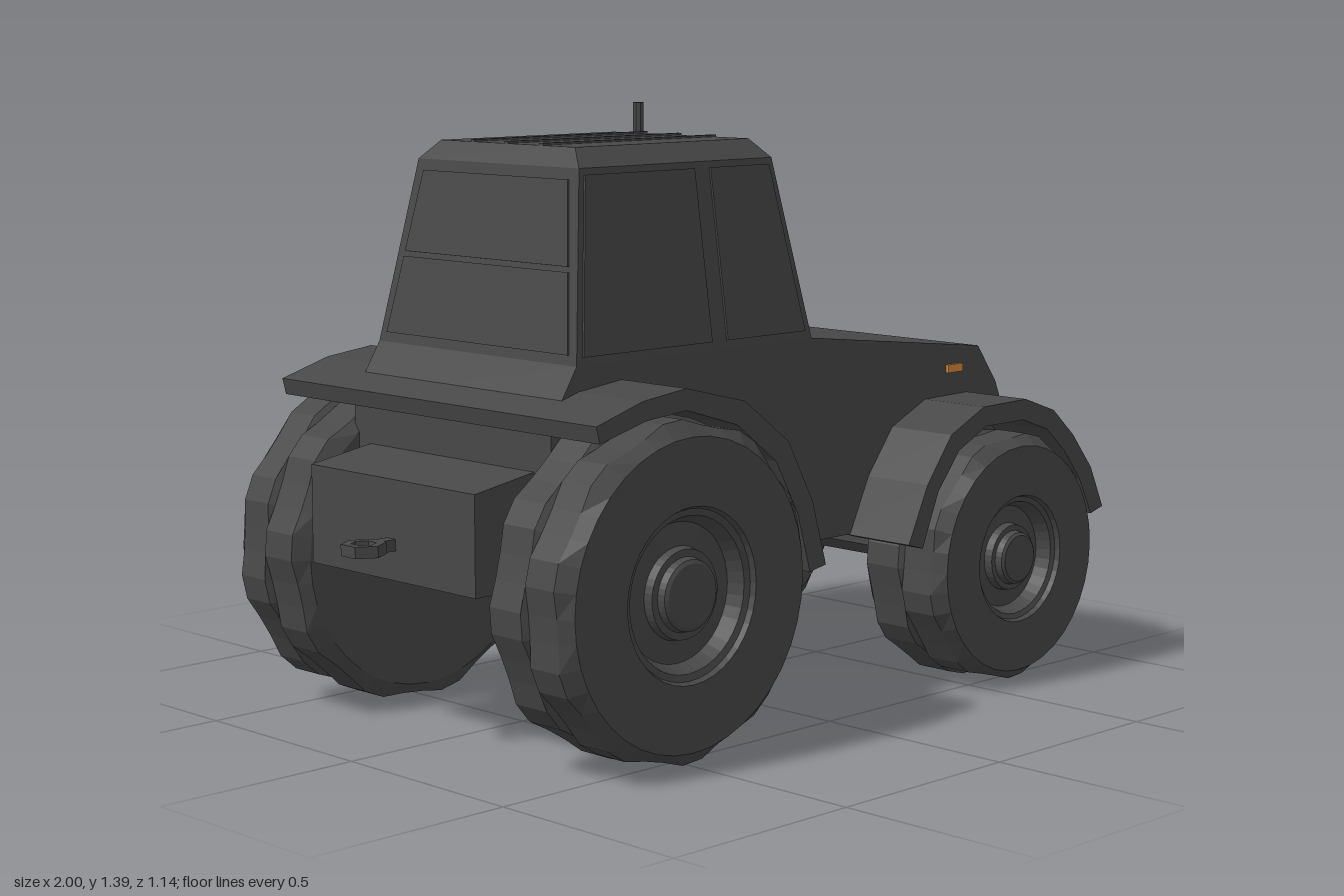
import * as THREE from 'three';

const mat = (name, color) => {
  const m = new THREE.MeshStandardMaterial({ color });
  m.name = name;
  return m;
};

export function createModel() {
  const root = new THREE.Group();
  root.name = 'tractor';
  const grey = mat('darkGrey', 0x484848);
  const white = mat('lampWhite', 0xdedede);
  const orange = mat('indicatorOrange', 0xda863e);

  const add = (name, geo, x = 0, y = 0, z = 0, m = grey) => {
    const mesh = new THREE.Mesh(geo, m);
    mesh.name = name;
    mesh.position.set(x, y, z);
    root.add(mesh);
    return mesh;
  };
  const box = (name, w, h, d, x, y, z, m) => add(name, new THREE.BoxGeometry(w, h, d), x, y, z, m);
  const rod = (name, r, len, x, y, z, axis = 'y', sides = 8, r2 = r) => {
    const g = new THREE.CylinderGeometry(r2, r, len, sides).toNonIndexed();
    g.rotateY(Math.PI / sides);
    if (axis === 'z') g.rotateX(Math.PI / 2);
    if (axis === 'x') g.rotateZ(Math.PI / 2);
    g.computeVertexNormals();
    return add(name, g, x, y, z);
  };
  const extrude = (pts, depth) => new THREE.ExtrudeGeometry(
    new THREE.Shape(pts.map(p => new THREE.Vector2(...p))), { depth, bevelEnabled: false });
  // Six-sided block whose corners are given by a rule on the signs of x, y, z
  const block = (name, rule) => {
    const g = new THREE.BoxGeometry(2, 2, 2), p = g.attributes.position;
    for (let i = 0; i < p.count; i++) p.setXYZ(i, ...rule(p.getX(i) > 0, p.getY(i) > 0, p.getZ(i) > 0 ? 1 : -1));
    g.computeVertexNormals();
    return add(name, g);
  };

  // Main body and hood, tapered nose, rear housing
  add('body', extrude([[-0.71, 0.39], [0.79, 0.385], [0.79, 0.705], [0.72, 0.80],
    [0.11, 0.87], [-0.635, 0.87], [-0.71, 0.75]], 0.67), 0, 0, -0.335);
  block('nose', (f, t, s) => f
    ? [0.863, t ? 0.63 : 0.42, s * (t ? 0.3 : 0.285)]
    : [0.79, t ? 0.705 : 0.385, s * 0.335]);
  block('rearHousing', (f, t, s) => [f ? -0.7 : -0.88, t ? (f ? 0.645 : 0.615) : 0.39, s * 0.28]);

  // Cab and roof
  block('cab', (f, t, s) => t ? [f ? 0.04 : -0.565, 1.29, s * 0.27] : [f ? 0.11 : -0.635, 0.87, s * 0.335]);
  block('roof', (f, t, s) => t ? [f ? 0.01 : -0.535, 1.333, s * 0.225] : [f ? 0.04 : -0.565, 1.29, s * 0.27]);
  for (const z of [-0.115, 0, 0.115]) box('roofRib', 0.545, 0.008, 0.012, -0.2625, 1.334, z);

  // Window panes, lying on the sloping cab walls
  const pane = (name, pts, tilt, turn, x, z) => {
    const g = extrude(pts, 0.005);
    g.rotateX(-tilt);
    g.rotateY(turn);
    add(name, g, x, 0.87, z);
  };
  const sideTilt = Math.atan(0.065 / 0.42), endTilt = Math.atan(0.07 / 0.42);
  const rearSide = [[-0.615, 0.018], [-0.22, 0.018], [-0.217, 0.41], [-0.553, 0.41]];
  const frontSide = [[-0.17, 0.018], [0.087, 0.018], [0.025, 0.41], [-0.167, 0.41]];
  const flip = pts => pts.map(([x, y]) => [-x, y]).reverse();
  for (const [name, pts] of [['rearSideWindow', rearSide], ['doorWindow', frontSide]]) {
    pane(name, pts, sideTilt, 0, 0, 0.335);
    pane(name, flip(pts), sideTilt, Math.PI, 0, -0.335);
  }
  pane('windshield', [[-0.307, 0.022], [0.307, 0.022], [0.243, 0.4], [-0.243, 0.4]], endTilt, Math.PI / 2, 0.11, 0);
  pane('rearWindowLower', [[-0.307, 0.022], [0.307, 0.022], [0.277, 0.2], [-0.277, 0.2]], endTilt, -Math.PI / 2, -0.635, 0);
  pane('rearWindowUpper', [[-0.275, 0.212], [0.275, 0.212], [0.243, 0.4], [-0.243, 0.4]], endTilt, -Math.PI / 2, -0.635, 0);

  // Fenders: outer arc followed by inner arc
  const rearArc = [[-0.765, 0.775], [-0.63, 0.815], [-0.5, 0.83], [-0.32, 0.785], [-0.18, 0.68], [-0.1, 0.535],
    [-0.055, 0.385], [-0.108, 0.375], [-0.15, 0.515], [-0.22, 0.64], [-0.345, 0.735], [-0.5, 0.782], [-0.62, 0.772], [-0.755, 0.737]];
  const frontArc = [[0.25, 0.385], [0.315, 0.52], [0.4, 0.63], [0.52, 0.685], [0.68, 0.688], [0.79, 0.65], [0.87, 0.58],
    [0.945, 0.49], [0.995, 0.385], [0.948, 0.372], [0.9, 0.465], [0.835, 0.545], [0.765, 0.605], [0.67, 0.638], [0.53, 0.637],
    [0.43, 0.59], [0.355, 0.5], [0.3, 0.37]];
  for (const s of [-1, 1]) {
    add('rearFender', extrude(rearArc, 0.225), 0, 0, s > 0 ? 0.31 : -0.535);
    add('frontFender', extrude(frontArc, 0.205), 0, 0, s > 0 ? 0.315 : -0.52);
  }
  add('rearDeck', extrude([[-0.765, 0.775], [-0.63, 0.815], [-0.5, 0.83], [-0.5, 0.782], [-0.62, 0.772], [-0.755, 0.737]], 0.64), 0, 0, -0.32);

  // Wheels: turned profile [radius, outward], with staggered tread lugs
  const wheel = (name, x, y, zOut, R, rim, hub, lugs, side) => {
    const w = 0.25, h = w / 2, n = lugs * 4;
    const prof = [[0, -h], [R * 0.9, -h], [R, -h + 0.022], [R, -0.005], [R, 0.005], [R, h - 0.032], [R * 0.91, h], [rim, h],
      [rim * 0.97, h - 0.012], [rim * 0.89, h - 0.016], [rim * 0.8, h - 0.05], [hub * 1.25, h - 0.045],
      [hub * 1.2, h - 0.025], [hub, h - 0.025], [hub * 0.95, h - 0.008], [hub * 0.85, h - 0.003], [0, h - 0.003]];
    let g = new THREE.LatheGeometry(prof.map(p => new THREE.Vector2(...p)), n);
    const p = g.attributes.position;
    for (let i = 0; i < p.count; i++) {
      const k = i % prof.length, seg = Math.floor(i / prof.length) % n;
      if (k < 2 || k > 5) continue;
      const low = ((seg + (k > 3 ? 2 : 0)) % 4) < 2;
      const f = low ? 0.965 : 1;
      p.setXYZ(i, p.getX(i) * f, p.getY(i), p.getZ(i) * f);
    }
    g = g.toNonIndexed();
    g.rotateX(side * Math.PI / 2);
    g.computeVertexNormals();
    add(name, g, x, y, side * (zOut - h));
  };
  for (const s of [-1, 1]) {
    wheel('rearWheel', -0.515, 0.385, 0.57, 0.38, 0.195, 0.083, 10, s);
    wheel('frontWheel', 0.622, 0.307, 0.557, 0.303, 0.155, 0.066, 9, s);
  }
  rod('rearAxle', 0.055, 0.8, -0.515, 0.385, 0, 'z');
  rod('frontAxle', 0.055, 0.8, 0.622, 0.307, 0, 'z');

  // Exhaust stack with a bent foot
  rod('muffler', 0.028, 0.38, 0.21, 1.11, -0.347);
  rod('mufflerTop', 0.028, 0.02, 0.21, 1.31, -0.347, 'y', 8, 0.014);
  rod('mufflerBottom', 0.014, 0.02, 0.21, 0.91, -0.347, 'y', 8, 0.028);
  rod('exhaustTip', 0.014, 0.08, 0.21, 1.355, -0.347);
  const foot = new THREE.CatmullRomCurve3([[0.21, 0.91, -0.347], [0.21, 0.86, -0.347], [0.21, 0.82, -0.335], [0.21, 0.8, -0.315]]
    .map(a => new THREE.Vector3(...a)));
  add('exhaustFoot', new THREE.TubeGeometry(foot, 6, 0.014, 8));

  // Mirror, its arms, door handle and step on the right side
  const mirror = extrude([[0.33, 1.03], [0.35, 1.015], [0.375, 1.02], [0.395, 1.04], [0.395, 1.14], [0.375, 1.165], [0.35, 1.165], [0.33, 1.15]], 0.02);
  mirror.rotateY(Math.PI / 2);
  add('mirror', mirror, 0.045, 0, 0);
  rod('mirrorPost', 0.006, 0.23, 0.055, 1.092, -0.345, 'y', 6);
  rod('mirrorArmTop', 0.006, 0.09, 0.05, 1.205, -0.302, 'z', 6);
  rod('mirrorArmBottom', 0.006, 0.04, 0.055, 0.98, -0.33, 'z', 6);
  box('doorHandle', 0.09, 0.018, 0.022, -0.125, 0.815, -0.344);
  box('step', 0.28, 0.02, 0.14, 0.1, 0.4, -0.385);

  // Tow hitch: hexagonal eye on a short arm
  const hex = r => Array.from({ length: 6 }, (_, i) =>
    new THREE.Vector2(r * Math.sin(i * Math.PI / 3), r * Math.cos(i * Math.PI / 3)));
  const eye = new THREE.Shape(hex(0.05));
  eye.holes.push(new THREE.Path(hex(0.028).reverse()));
  const eyeGeo = new THREE.ExtrudeGeometry(eye, { depth: 0.026, bevelEnabled: false });
  eyeGeo.rotateX(-Math.PI / 2);
  add('hitchEye', eyeGeo, -0.957, 0.457, 0);
  box('hitchArm', 0.05, 0.026, 0.03, -0.895, 0.47, 0);

  // Lamps
  for (const s of [-1, 1]) {
    box('headlight', 0.025, 0.063, 0.15, 0.87, 0.588, s * 0.197, white);
    box('frontIndicator', 0.012, 0.033, 0.092, 0.865, 0.463, s * 0.23, orange);
    box('sideIndicator', 0.055, 0.02, 0.012, 0.625, 0.753, s * 0.338, orange);
  }
  return root;
}
